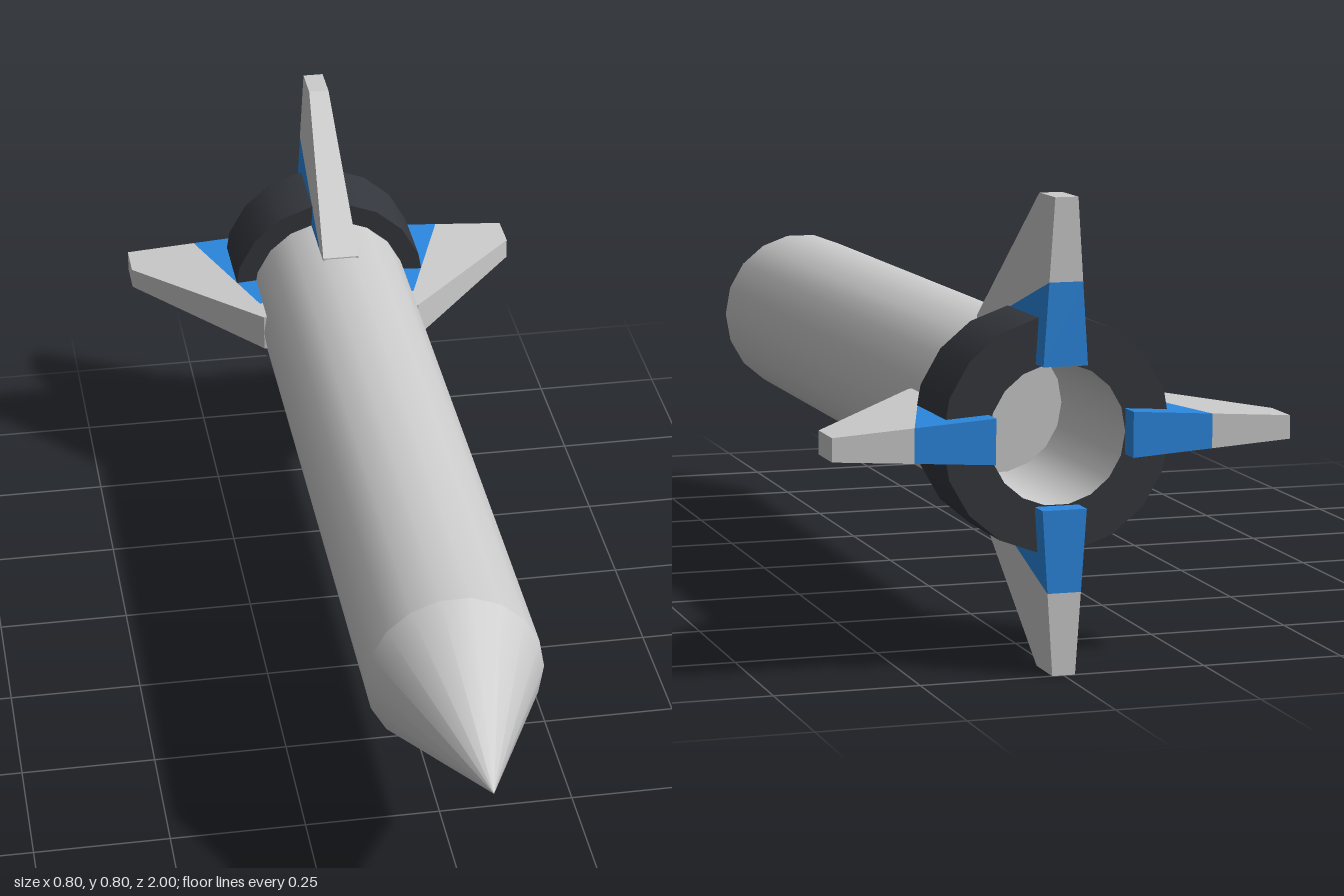
import * as THREE from 'three';
import { mergeGeometries } from 'three/addons/utils/BufferGeometryUtils.js';

const SIDES = 18;
const grey = new THREE.MeshStandardMaterial({ color: 0xcccccc });
const dark = new THREE.MeshStandardMaterial({ color: 0x34373d });
const blue = new THREE.MeshStandardMaterial({ color: 0x2b88e0 });

// Turned part along z from [radius, z] points; each band keeps a sharp edge to the next
function turned(name, points, material) {
  const bands = [];
  for (let i = 0; i + 1 < points.length; i++) {
    const pair = [points[i], points[i + 1]].map(([r, z]) => new THREE.Vector2(r, z));
    bands.push(new THREE.LatheGeometry(pair, SIDES));
  }
  const geometry = mergeGeometries(bands).rotateY(Math.PI / 2).rotateX(Math.PI / 2);
  const mesh = new THREE.Mesh(geometry, material);
  mesh.name = name;
  return mesh;
}

// Fin piece from a [z, radius] outline, thinning towards the tip
function finPiece(name, outline, material) {
  const shape = new THREE.Shape(outline.map(([z, r]) => new THREE.Vector2(z, r)));
  const geometry = new THREE.ExtrudeGeometry(shape, { depth: 1, bevelEnabled: false });
  const pos = geometry.attributes.position;
  for (let i = 0; i < pos.count; i++) {
    const r = pos.getY(i);
    const halfWidth = 0.02 + (0.4 - r) * 0.067;
    pos.setXYZ(i, (1 - 2 * pos.getZ(i)) * halfWidth, r, pos.getX(i));
  }
  geometry.computeVertexNormals();
  const mesh = new THREE.Mesh(geometry, material);
  mesh.name = name;
  return mesh;
}

export function createModel() {
  const model = new THREE.Group();
  model.name = 'rocket';

  // Body tube, nose and hollow exhaust
  model.add(turned('body', [[0.16, -0.82], [0.16, 0.64]], grey));
  model.add(turned('noseCone', [[0.16, 0.64], [0, 1]], grey));
  model.add(turned('exhaustBore', [[0, -0.64], [0.12, -0.64], [0.12, -0.96]], grey));
  model.add(turned('engineRing', [[0.12, -0.96], [0.2, -0.96], [0.2, -0.8], [0.15, -0.8]], dark));

  // Four two-coloured fins
  for (let i = 0; i < 4; i++) {
    const fin = new THREE.Group();
    fin.name = 'fin' + (i + 1);
    fin.add(finPiece('finBlade', [
      [-0.64, 0.13], [-0.64, 0.16], [-0.92, 0.4], [-1, 0.4],
      [-1, 0.26], [-0.7, 0.16], [-0.7, 0.13],
    ], grey));
    fin.add(finPiece('finRoot', [
      [-0.7, 0.13], [-0.7, 0.16], [-1, 0.26], [-1, 0.12], [-0.955, 0.12], [-0.955, 0.13],
    ], blue));
    fin.rotation.z = i * Math.PI / 2;
    model.add(fin);
  }

  // Lift so the lowest fin tip rests on the ground
  for (const part of model.children) part.position.y = 0.4;
  return model;
}
